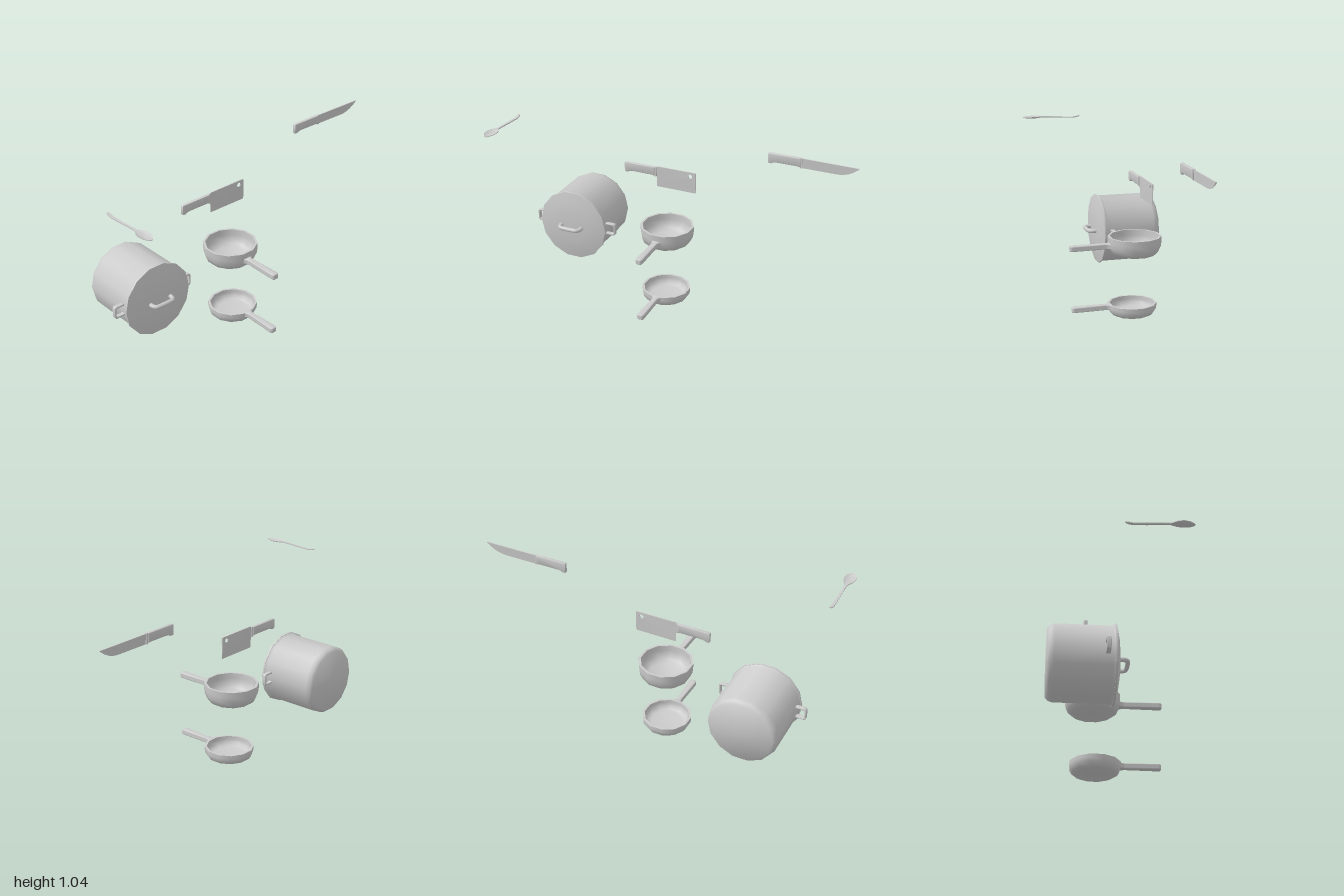
import * as THREE from 'three';
import { toCreasedNormals } from 'three/addons/utils/BufferGeometryUtils.js';

const grey = new THREE.MeshStandardMaterial({ color: 0xcccccc });
const vecs = (pts) => pts.map(([x, y]) => new THREE.Vector2(x, y));

function add(parent, name, geometry, crease = 0.8) {
  const mesh = new THREE.Mesh(crease ? toCreasedNormals(geometry, crease) : geometry, grey);
  mesh.name = name;
  parent.add(mesh);
  return mesh;
}

function group(parent, name, x, y, z) {
  const g = new THREE.Group();
  g.name = name;
  g.position.set(x, y, z);
  parent.add(g);
  return g;
}

// Extrusion centred on z = 0, with total thickness including its bevel
function slab(shape, thickness, bevel = 0) {
  const g = new THREE.ExtrudeGeometry(shape, {
    depth: thickness - 2 * bevel, curveSegments: 8, bevelEnabled: bevel > 0,
    bevelSize: bevel, bevelThickness: bevel, bevelOffset: -bevel, bevelSegments: 2,
  });
  return g.translate(0, 0, -thickness / 2 + bevel);
}

// Rounded rectangle centred on the origin
function roundRect(Type, w, h, r) {
  const s = new Type(), x = w / 2, y = h / 2;
  s.moveTo(-x + r, -y).lineTo(x - r, -y).quadraticCurveTo(x, -y, x, -y + r);
  s.lineTo(x, y - r).quadraticCurveTo(x, y, x - r, y);
  s.lineTo(-x + r, y).quadraticCurveTo(-x, y, -x, y - r);
  s.lineTo(-x, -y + r).quadraticCurveTo(-x, -y, -x + r, -y);
  return s;
}

function circleHole(x, y, r) {
  return new THREE.Path().absarc(x, y, r, 0, Math.PI * 2, true);
}

// Thin the blade towards its lower cutting edge
function taperBlade(g, y0, y1) {
  const p = g.attributes.position;
  for (let i = 0; i < p.count; i++) {
    const t = THREE.MathUtils.clamp((p.getY(i) - y0) / (y1 - y0), 0, 1);
    p.setZ(i, p.getZ(i) * (0.15 + 0.85 * t));
  }
  return g;
}

// Stock pot lying on its side, lid facing forwards
function stockPot(parent) {
  const pot = group(parent, 'stockPot', -0.662, 0.375, 0);
  const turned = (pts) => new THREE.LatheGeometry(vecs(pts), 14).rotateY(Math.PI / 2).rotateX(Math.PI / 2);
  add(pot, 'potBody', turned([[0, -0.372], [0.183, -0.372], [0.197, -0.358], [0.204, -0.335],
    [0.204, -0.045], [0.212, -0.032], [0, -0.032]]));
  add(pot, 'potLid', turned([[0, -0.032], [0.214, -0.032], [0.214, -0.021], [0.16, -0.009],
    [0.1, -0.001], [0, 0.001]]));

  // Lid handle
  const path = new THREE.CatmullRomCurve3([[-0.066, -0.01], [-0.064, 0.022], [-0.052, 0.038], [-0.03, 0.041],
    [0.03, 0.041], [0.052, 0.038], [0.064, 0.022], [0.066, -0.01]].map(([x, z]) => new THREE.Vector3(x, 0, z)));
  add(pot, 'lidHandle', new THREE.TubeGeometry(path, 24, 0.0125, 8), 0);

  // Side loops
  for (const side of [-1, 1]) {
    const loop = roundRect(THREE.Shape, 0.07, 0.074, 0.016);
    loop.holes.push(roundRect(THREE.Path, 0.05, 0.052, 0.008));
    add(pot, side > 0 ? 'leftPotHandle' : 'rightPotHandle', slab(loop, 0.024, 0.003))
      .position.set(side * 0.223, 0, -0.071);
  }
}

// Open pan with a long forward grip; grip lengths are measured from the pan centre
function pan(parent, name, pos, r, h, gripY, gripEnd) {
  const g = group(parent, name, ...pos);
  const wall = 0.013;
  const body = new THREE.LatheGeometry(vecs([
    [0, 0], [r * 0.77, 0], [r * 0.89, h * 0.14], [r * 0.975, h * 0.42], [r, h * 0.7], [r, h],
    [r - wall, h], [r - wall, h * 0.7], [r * 0.975 - wall, h * 0.46], [r * 0.87 - wall, h * 0.22],
    [r * 0.75 - wall, 0.011], [0, 0.011]]), 12);
  add(g, 'panBody', body.rotateY(Math.PI / 12));

  const s = new THREE.Shape();
  const e = gripEnd, b = r - 0.012;
  s.moveTo(-0.034, b).quadraticCurveTo(-0.017, b + 0.014, -0.016, b + 0.035);
  s.lineTo(-0.021, e - 0.018).quadraticCurveTo(-0.02, e, -0.01, e);
  s.lineTo(0.01, e).quadraticCurveTo(0.02, e, 0.021, e - 0.018);
  s.lineTo(0.016, b + 0.035).quadraticCurveTo(0.017, b + 0.014, 0.034, b);
  s.holes.push(circleHole(0, e - 0.017, 0.006));
  const grip = slab(s, 0.032, 0.006).rotateX(Math.PI / 2);
  add(g, 'panHandle', grip).position.y = gripY;
}

// Rounded grip running along x from 0 to length, with its top at y = 0
function knifeGrip(parent, length, height) {
  const s = new THREE.Shape();
  s.moveTo(0, -0.006).quadraticCurveTo(0, 0, 0.008, 0).lineTo(length, 0);
  s.lineTo(length, -height * 0.9).lineTo(length - 0.02, -height * 0.84).lineTo(0.05, -height * 0.84);
  s.quadraticCurveTo(0.03, -height * 0.86, 0.02, -height).lineTo(0.006, -height);
  s.quadraticCurveTo(0, -height, 0, -height + 0.008);
  add(parent, 'grip', slab(s, 0.02, 0.004));
  const bolster = new THREE.BoxGeometry(0.012, height * 0.96, 0.013);
  add(parent, 'bolster', bolster.translate(length + 0.005, -height * 0.48, 0));
}

function cleaver(parent) {
  const g = group(parent, 'cleaver', -0.375, 0.79, -0.155);
  knifeGrip(g, 0.19, 0.06);
  const blade = roundRect(THREE.Shape, 0.243, 0.125, 0.006);
  blade.holes.push(circleHole(0.087, 0.038, 0.013));
  add(g, 'cleaverBlade', taperBlade(slab(blade, 0.007), -0.0625, 0.02)).position.set(0.324, -0.057, 0);
}

function chefKnife(parent) {
  const g = group(parent, 'chefKnife', 0.488, 0.995, -0.18);
  knifeGrip(g, 0.186, 0.06);
  const s = new THREE.Shape();
  s.moveTo(0.19, -0.002).lineTo(0.19, -0.058).lineTo(0.39, -0.058);
  s.quadraticCurveTo(0.46, -0.056, 0.512, -0.003);
  add(g, 'knifeBlade', taperBlade(slab(s, 0.007), -0.058, -0.002));
}

// Spoon lofted along z from thin closed cross-sections
function spoon(parent) {
  // z, half width, edge height, bowl depth, thickness
  const rings = [[0.006, 0.001, 1.041, 0, 0.001], [0.01, 0.006, 1.041, 0, 0.005], [0.025, 0.008, 1.037, 0, 0.006],
    [0.05, 0.008, 1.033, 0, 0.006], [0.12, 0.007, 1.036, 0, 0.006], [0.2, 0.006, 1.041, 0, 0.006],
    [0.24, 0.007, 1.043, 0, 0.006], [0.255, 0.016, 1.044, 0.003, 0.005], [0.275, 0.027, 1.045, 0.007, 0.004],
    [0.305, 0.033, 1.045, 0.01, 0.003], [0.335, 0.028, 1.044, 0.008, 0.003], [0.355, 0.017, 1.043, 0.004, 0.003],
    [0.366, 0.006, 1.042, 0.001, 0.003], [0.368, 0.001, 1.042, 0, 0.001]];
  const across = 7, n = across * 2, pos = [], idx = [];
  for (const [z, w, y, depth, thick] of rings) {
    for (let j = 0; j < n; j++) {
      const top = j < across;
      const u = ((top ? j : n - 1 - j) / (across - 1)) * 2 - 1;
      pos.push(u * w, y - depth * (1 - u * u) - (top ? 0 : thick), z);
    }
  }
  for (let i = 0; i < rings.length - 1; i++) {
    for (let j = 0; j < n; j++) {
      const a = i * n + j, b = i * n + (j + 1) % n;
      idx.push(a, a + n, b, b, a + n, b + n);
    }
  }
  const geo = new THREE.BufferGeometry();
  geo.setAttribute('position', new THREE.Float32BufferAttribute(pos, 3));
  geo.setIndex(idx);
  geo.computeVertexNormals();
  add(parent, 'spoon', geo).position.x = -0.967;
}

export function createModel() {
  const model = new THREE.Group();
  model.name = 'kitchenware';
  stockPot(model);
  pan(model, 'saucepan', [-0.082, 0.36, -0.095], 0.156, 0.107, 0.056, 0.385);
  pan(model, 'fryingPan', [-0.082, 0, -0.08], 0.143, 0.067, 0.052, 0.36);
  cleaver(model);
  chefKnife(model);
  spoon(model);
  return model;
}
